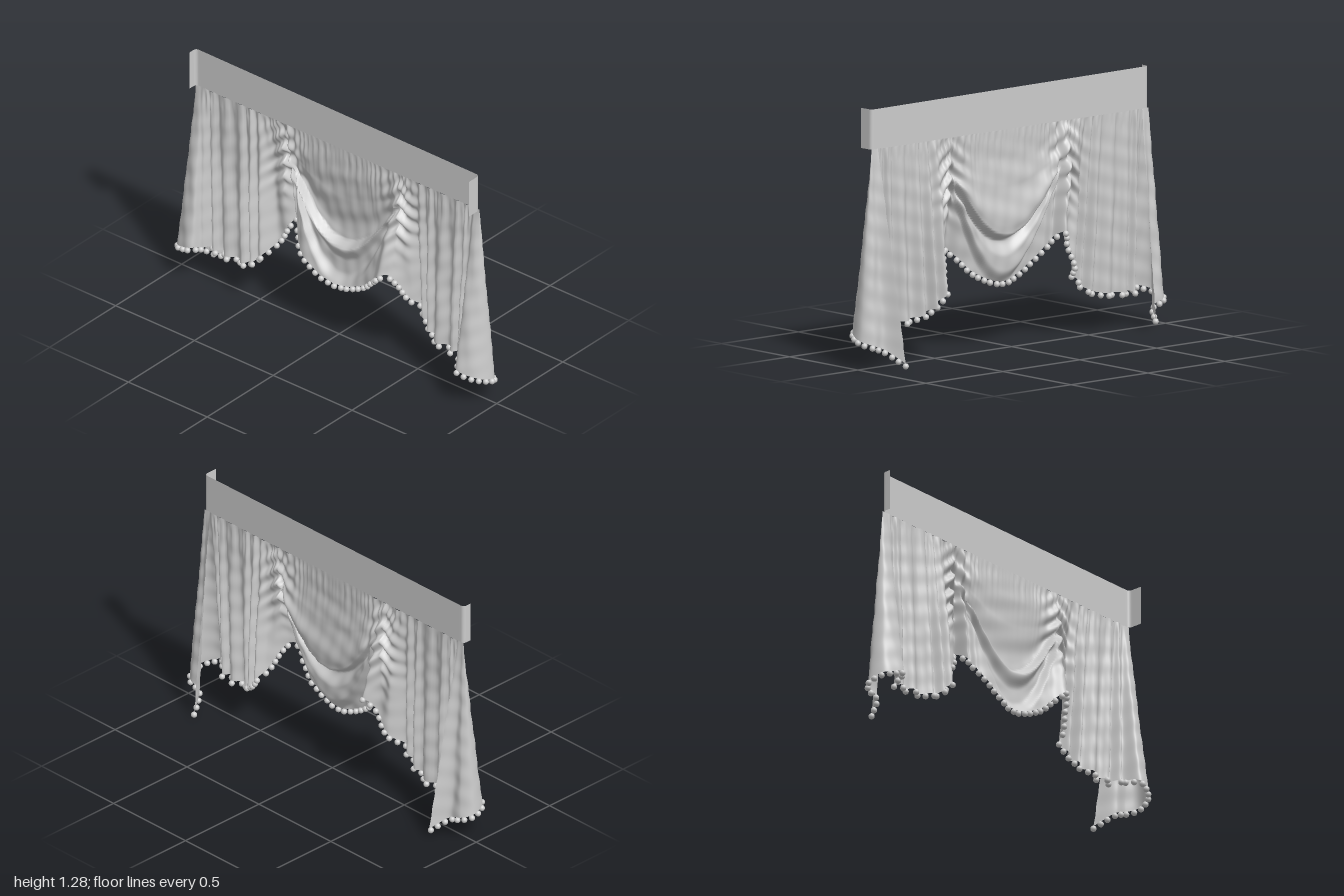
import * as THREE from 'three';

// Curtain stations: [zTop, zHem, yHem, xHem]
// Flared return at the left end, from its loose front edge round to the panel
const RETURN = [
  [0.86, 0.815, 0.022, 0.14], [0.885, 0.875, 0.085, 0.05], [0.895, 0.94, 0.11, 0.045], [0.9, 0.982, 0.13, 0],
  [0.895, 0.965, 0.155, -0.075], [0.885, 0.91, 0.175, -0.125], [0.87, 0.85, 0.195, -0.13],
];
// Panel, swag and panel between the two returns
const MIDDLE = [
  [0.85, 0.82, 0.21, -0.06], [0.8, 0.77, 0.2, -0.02], [0.63, 0.6, 0.21, 0], [0.53, 0.51, 0.27, 0.045],
  [0.46, 0.445, 0.36, 0.03], [0.39, 0.365, 0.515, -0.1], [0.3, 0.27, 0.44, -0.075], [0.2, 0.2, 0.375, -0.06],
  [0, 0, 0.31, -0.055], [-0.2, -0.19, 0.4, -0.055], [-0.29, -0.255, 0.48, -0.01], [-0.36, -0.29, 0.54, 0.065],
  [-0.45, -0.395, 0.36, 0], [-0.51, -0.465, 0.27, -0.055], [-0.59, -0.55, 0.2, -0.04], [-0.8, -0.78, 0.175, -0.015],
  [-0.85, -0.83, 0.18, -0.04],
];
// The right return mirrors the left, slightly shorter and shallower
const mirrored = RETURN.map(([zt, zh, y, x]) => [-zt, -zh, y * 0.85 + 0.03, Math.max(x, -0.105)]).reverse();
const stations = [...RETURN, ...MIDDLE, ...mirrored];

const TOP_Y = 1.08;
const topCurve = new THREE.CatmullRomCurve3(stations.map(([z]) => new THREE.Vector3(-0.012, TOP_Y, z)));
const hemCurve = new THREE.CatmullRomCurve3(stations.map(([, z, y, x]) => new THREE.Vector3(x, y + 0.012, z)));

// Depth of the swag, read from the top downwards: [level, x offset]
const SWAG = [[0, 0], [0.15, 0.015], [0.34, 0.045], [0.39, 0.04], [0.42, -0.01], [0.5, 0.03], [0.57, 0.035], [0.64, 0], [9, 0]];
function swagDepth(level) {
  const i = Math.max(1, SWAG.findIndex(([l]) => l > level));
  const [a, b] = [SWAG[i - 1], SWAG[i]];
  return THREE.MathUtils.lerp(a[1], b[1], THREE.MathUtils.smoothstep(level, a[0], b[0]));
}

// Point on the cloth: u runs along the width, v from the heading to the hem
function cloth(u, v) {
  const top = topCurve.getPoint(u), hem = hemCurve.getPoint(u);
  const y = THREE.MathUtils.lerp(top.y, hem.y, v);
  let z = THREE.MathUtils.lerp(top.z, hem.z, v);
  const inside = Math.max(0, 1 - ((z - 0.03) / 0.36) ** 2);
  const swag = THREE.MathUtils.smoothstep(inside, 0, 0.6);
  let x = THREE.MathUtils.lerp(top.x, hem.x, v ** (1 + swag));

  // hanging pleats in the side panels, short gathers under the heading
  const panel = 1 - THREE.MathUtils.smoothstep(Math.abs(top.z), 0.82, 0.88);
  const pleat = Math.sin(top.z * 82 + 1.3 * Math.sin(top.z * 23));
  x += pleat * 0.02 * (0.25 + 0.75 * Math.min(1, v * 1.6)) * (1 - swag) * panel;
  x += Math.sin(top.z * 190 + 2 * Math.sin(top.z * 31)) * 0.009 * Math.exp(-v * 7) * Math.min(1, v * 15) * panel;

  // draped swag between the two ties
  x += swagDepth((0.95 - y) / Math.max(inside, 0.15)) * swag;

  // creases fanning out from each tie
  for (const tieZ of [0.39, -0.36]) {
    const dz = z - tieZ, dy = y - 0.86;
    const near = Math.exp(-(dz * dz) / 0.008 - (dy * dy) / 0.03);
    x += near * (0.015 + 0.018 * Math.sin(dy * 75 + Math.abs(dz) * 60));
    z -= dz * near * 0.3;
  }
  // slight crumple
  x += 0.003 * Math.sin(y * 37 + z * 29) * Math.sin(z * 47 - y * 21) * Math.min(1, v * 5);
  return new THREE.Vector3(x, y, z);
}

// Grid surface from a point rule
function sheet(rule, nu, nv) {
  const geometry = new THREE.PlaneGeometry(1, 1, nu, nv);
  const position = geometry.attributes.position;
  for (let j = 0, k = 0; j <= nv; j++) {
    for (let i = 0; i <= nu; i++, k++) {
      const p = rule(i / nu, j / nv);
      position.setXYZ(k, p.x, p.y, p.z);
    }
  }
  geometry.computeVertexNormals();
  return geometry;
}

// Plan of the heading board, [x, z]: rounded corners, a return at each end
function boardPlan() {
  const r = 0.018;
  const corner = (side) => Array.from({ length: 7 }, (_, i) => {
    const a = (i / 6) * Math.PI / 2;
    return [-0.012 - r + r * Math.sin(a), side * (0.9 - r + r * Math.cos(a))];
  });
  return [
    [-0.09, 0.9], [-0.04, 0.9], ...corner(1), [-0.012, 0.86],
    [-0.012, -0.86], ...corner(-1).reverse(), [-0.06, -0.9],
  ];
}

export function createModel() {
  const model = new THREE.Group();
  model.name = 'swagCurtain';
  const fabric = new THREE.MeshStandardMaterial({ color: 0xcccccc, side: THREE.DoubleSide });
  const grey = new THREE.MeshStandardMaterial({ color: 0xcccccc });
  const add = (parent, name, geometry, material) => {
    const mesh = new THREE.Mesh(geometry, material);
    mesh.name = name;
    parent.add(mesh);
    return mesh;
  };

  // Heading board, a little taller at the right end
  const plan = boardPlan();
  const board = sheet((u, v) => {
    const [x, z] = plan[Math.round(u * (plan.length - 1))];
    return new THREE.Vector3(x, THREE.MathUtils.lerp(1.281 - z * 0.005, 1.078, v), z);
  }, plan.length - 1, 1);
  add(model, 'headingBoard', board, fabric);

  // Draped cloth
  add(model, 'drapedCloth', sheet(cloth, 520, 80), fabric);

  // Pompom fringe, evenly spaced along the hem
  const fringe = new THREE.Group();
  fringe.name = 'pompomFringe';
  model.add(fringe);
  const ball = new THREE.SphereGeometry(0.0155, 12, 8);
  const steps = 3000;
  let last = null;
  for (let i = 0; i <= steps; i++) {
    const u = i / steps;
    const p = hemCurve.getPoint(u);
    if (last && p.distanceTo(last) < 0.039) continue;
    last = p;
    const pompom = add(fringe, 'pompom', ball, grey);
    pompom.position.copy(cloth(u, 1));
    pompom.position.y -= 0.014;
  }
  return model;
}
